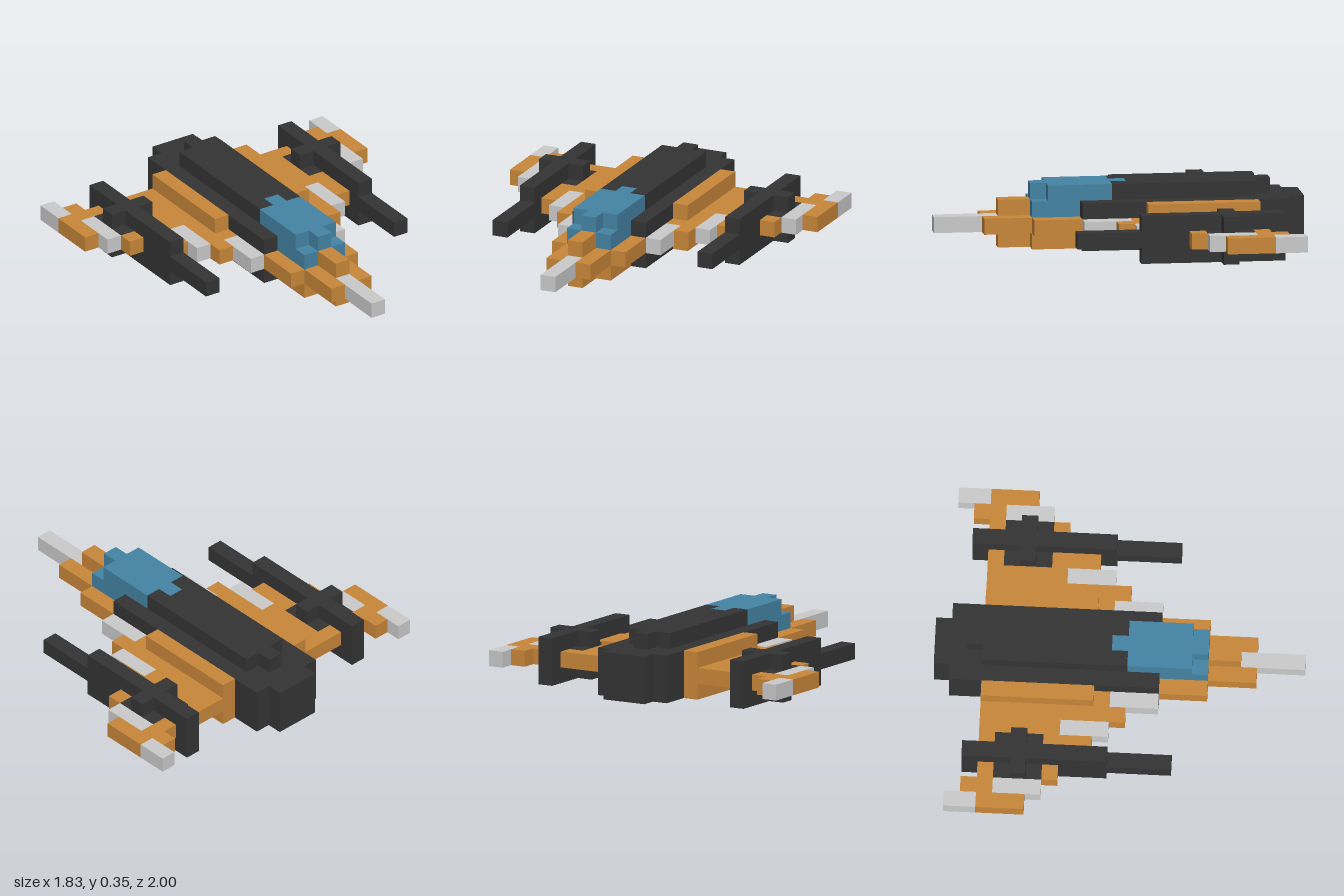
import * as THREE from 'three';

const U = 2 / 23; // size of one block

export function createModel() {
  const mat = (name, color) => {
    const m = new THREE.MeshStandardMaterial({ color });
    m.name = name;
    return m;
  };
  const orange = mat('orange', 0xc88639);
  const dark = mat('charcoal', 0x343434);
  const grey = mat('lightGrey', 0xcacaca);
  const blue = mat('glassBlue', 0x4483a3);

  const root = new THREE.Group();
  root.name = 'starfighter';

  // Box over block columns x0..x1 (0 = centre line), layers y0..y1 and rows z0..z1 counted from the tail
  const box = (parent, name, material, [x0, x1], [y0, y1], [z0, z1]) => {
    const g = new THREE.BoxGeometry((x1 - x0 + 1) * U, (y1 - y0 + 1) * U, (z1 - z0) * U);
    const mesh = new THREE.Mesh(g, material);
    mesh.name = name;
    mesh.position.set(((x0 + x1) / 2) * U, ((y0 + y1 + 1) / 2) * U, ((z0 + z1) / 2) * U - 1);
    parent.add(mesh);
  };
  const group = (name) => {
    const g = new THREE.Group();
    g.name = name;
    root.add(g);
    return g;
  };

  // Fuselage
  const body = group('fuselage');
  box(body, 'hull', dark, [-2, 2], [0, 2], [1, 14]);
  box(body, 'tailBlock', dark, [-1, 1], [0, 2], [0, 1]);
  box(body, 'spine', dark, [-1, 1], [3, 3], [3, 11]);
  box(body, 'spineTail', dark, [0, 0], [3, 3], [2, 3]);
  for (const x of [-1, 1]) box(body, 'spineFront', dark, [x, x], [3, 3], [11, 12]);

  // Cockpit glass
  const cockpit = group('cockpit');
  box(cockpit, 'canopyRidge', blue, [0, 0], [3, 3], [11, 17]);
  for (const x of [-1, 1]) box(cockpit, 'canopySide', blue, [x, x], [3, 3], [12, 16]);
  box(cockpit, 'canopyBase', blue, [-1, 1], [2, 2], [14, 17]);

  // Nose
  const nose = group('nose');
  box(nose, 'noseWide', orange, [-2, 2], [1, 1], [14, 17]);
  box(nose, 'noseBottom', orange, [-1, 1], [0, 0], [14, 17]);
  box(nose, 'noseKeel', orange, [0, 0], [0, 0], [17, 19]);
  box(nose, 'noseTop', orange, [0, 0], [2, 2], [17, 19]);
  box(nose, 'noseCore', orange, [0, 0], [1, 1], [17, 19]);
  for (const x of [-1, 1]) box(nose, 'noseCheek', orange, [x, x], [1, 1], [17, 20]);
  box(nose, 'noseTip', grey, [0, 0], [1, 1], [19, 23]);

  // Wing columns: [column, startRow, endRow, material]
  const wingColumns = [
    [3, 3, 11, orange], [3, 11, 14, grey],
    [4, 3, 12, orange],
    [5, 3, 8, orange], [5, 8, 11, grey],
    [6, 3, 4, orange], [6, 7, 10, orange],
    [8, 3, 4, orange], [8, 7, 8, orange],
    [9, 2, 4, orange], [9, 4, 7, grey],
    [10, 1, 3, grey], [10, 3, 6, orange],
  ];

  for (const [side, s] of [['left', 1], ['right', -1]]) {
    const wing = group(side + 'Wing');
    for (const [c, a, b, m] of wingColumns) {
      box(wing, m === grey ? 'wingEdge' : 'wingPanel', m, [s * c, s * c], [1, 1], [a, b]);
    }
    // Ridges above and below the wing root
    for (const y of [0, 2]) box(wing, 'rootRidge', orange, [s * 3, s * 3], [y, y], [3, 10]);

    // Cannon with a cross-shaped mount
    const cannon = group(side + 'Cannon');
    box(cannon, 'cannonBody', dark, [s * 7, s * 7], [0, 2], [2, 11]);
    box(cannon, 'barrel', dark, [s * 7, s * 7], [1, 1], [11, 15]);
    for (const c of [6, 8]) {
      box(cannon, 'mountPlate', dark, [s * c, s * c], [1, 1], [4, 7]);
      for (const y of [0, 2]) box(cannon, 'mountLug', dark, [s * c, s * c], [y, y], [5, 6]);
    }
  }
  return root;
}
